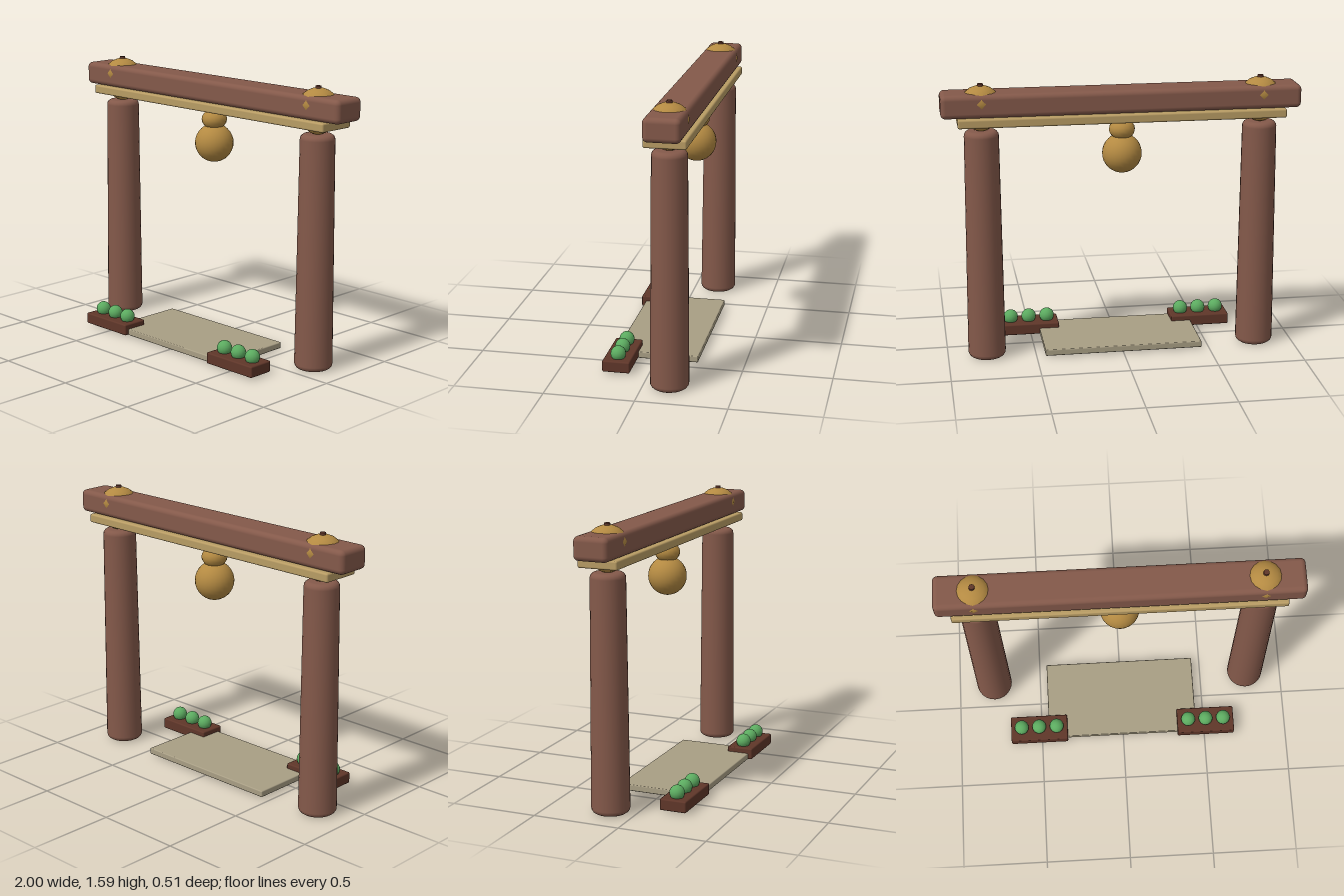
import * as THREE from 'three';
import { RoundedBoxGeometry } from 'three/addons/geometries/RoundedBoxGeometry.js';

const mat = (color) => new THREE.MeshStandardMaterial({ color });

export function createModel() {
  const model = new THREE.Group();
  model.name = 'gateway';
  const wood = mat(0x84594a), gold = mat(0xb48a42), plankWood = mat(0xb89c64);
  const stone = mat(0xa89e84), darkWood = mat(0x5f3629), green = mat(0x5cab60);
  const gateZ = -0.145;

  const add = (parent, name, geometry, material, x, y, z) => {
    const mesh = new THREE.Mesh(geometry, material);
    mesh.name = name;
    mesh.position.set(x, y, z);
    parent.add(mesh);
    return mesh;
  };
  // Rounded box given by its limits on each axis
  const box = (parent, name, material, [x0, x1], [y0, y1], [z0, z1], r) =>
    add(parent, name, new RoundedBoxGeometry(x1 - x0, y1 - y0, z1 - z0, 3, r), material,
      (x0 + x1) / 2, (y0 + y1) / 2, (z0 + z1) / 2);
  const ball = (parent, name, material, r, squash, x, y, z) => {
    const mesh = add(parent, name, new THREE.SphereGeometry(r, 16, 10), material, x, y, z);
    mesh.scale.y = squash;
    return mesh;
  };

  // Tapered post with rounded rims
  const profile = [new THREE.Vector2(0, 0)];
  const rim = 0.03, height = 1.325;
  for (let i = 0; i <= 4; i++) {
    const a = (i / 4) * Math.PI / 2;
    profile.push(new THREE.Vector2(0.107 - rim + rim * Math.sin(a), rim - rim * Math.cos(a)));
  }
  for (let i = 0; i <= 4; i++) {
    const a = (i / 4) * Math.PI / 2;
    profile.push(new THREE.Vector2(0.096 - rim + rim * Math.cos(a), height - rim + rim * Math.sin(a)));
  }
  profile.push(new THREE.Vector2(0, height));
  const postGeometry = new THREE.LatheGeometry(profile, 24);

  // Lintel and the plank beneath it
  box(model, 'topBeam', wood, [-1, 1], [1.41, 1.54], [gateZ - 0.1, gateZ + 0.1], 0.028);
  box(model, 'lowerPlank', plankWood, [-0.914, 0.91], [1.36, 1.41], [gateZ - 0.114, gateZ + 0.114], 0.01);

  for (const side of [-1, 1]) {
    const label = side > 0 ? 'left' : 'right';
    const x = side * 0.781 - 0.003;
    add(model, label + 'Post', postGeometry, wood, x, 0, gateZ);

    // Gourd set through the beam above the post
    const gourd = new THREE.Group();
    gourd.name = label + 'PostGourd';
    model.add(gourd);
    ball(gourd, 'gourdBody', gold, 0.105, 0.81, x, 1.49, gateZ);
    ball(gourd, 'gourdNeck', gold, 0.073, 0.8, x, 1.38, gateZ);
    add(gourd, 'gourdStem', new THREE.CylinderGeometry(0.016, 0.019, 0.03, 10), darkWood, x, 1.57, gateZ);

    // Planter with three round shrubs
    const planter = new THREE.Group();
    planter.name = label + 'Planter';
    model.add(planter);
    const cx = side * 0.511 - 0.003;
    box(planter, 'planterBox', darkWood, [cx - 0.173, cx + 0.173], [0.01, 0.075], [0.1, 0.255], 0.008);
    for (let i = -1; i <= 1; i++) {
      ball(planter, 'shrub', green, 0.043, 1, cx + i * 0.107, 0.1, 0.177);
    }
  }

  // Gourd hanging from the middle
  const hanging = new THREE.Group();
  hanging.name = 'hangingGourd';
  model.add(hanging);
  add(hanging, 'gourdBody', new THREE.SphereGeometry(0.111, 24, 16), gold, -0.002, 1.166, gateZ);
  ball(hanging, 'gourdNeck', gold, 0.073, 0.8, -0.002, 1.303, gateZ);

  // Threshold slab on the ground
  box(model, 'thresholdSlab', stone, [-0.456, 0.45], [0.008, 0.045], [-0.24, 0.23], 0.006);
  return model;
}
